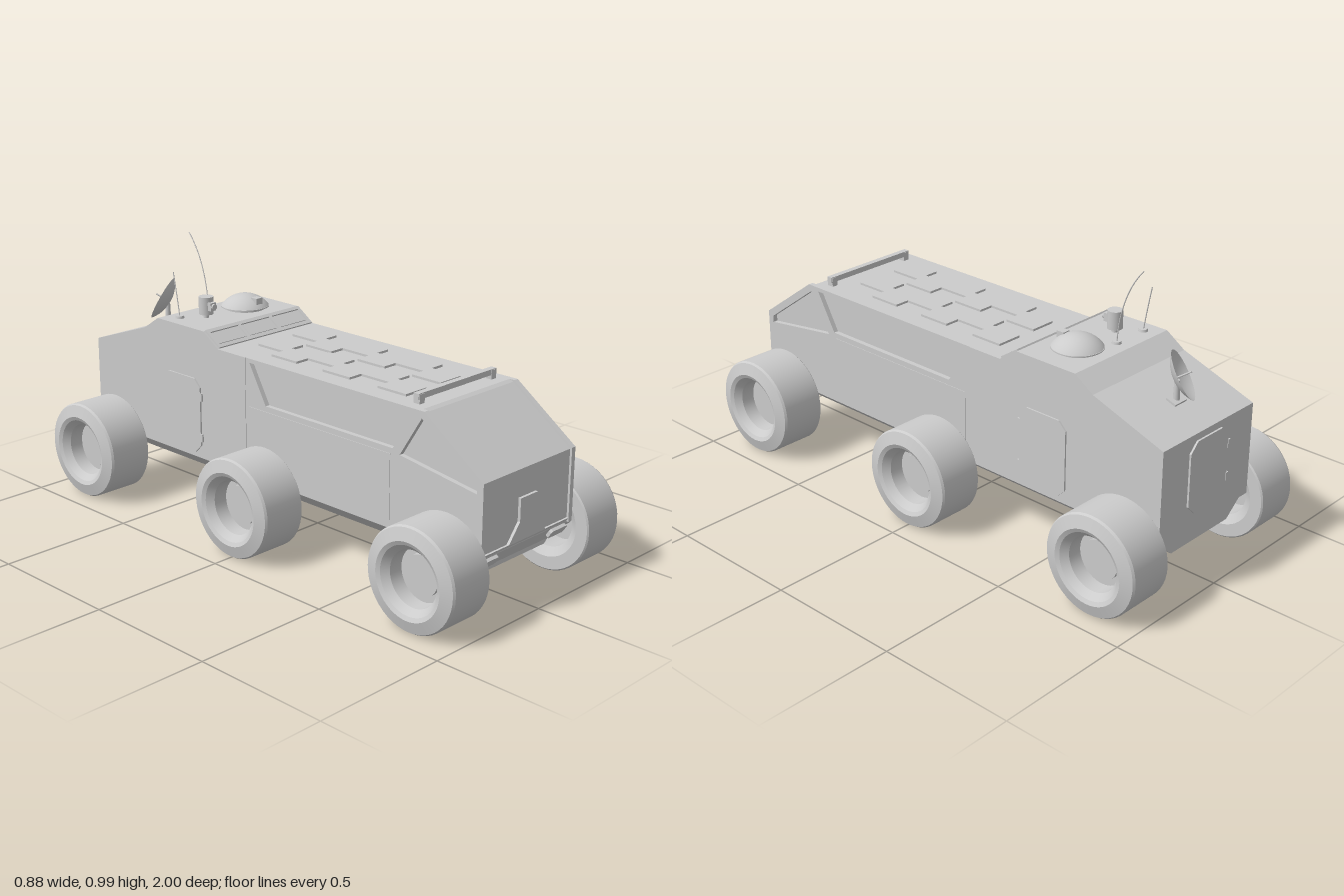
import * as THREE from 'three';

const mat = new THREE.MeshStandardMaterial({ color: 0xcccccc, side: THREE.DoubleSide });
const V = (x, y, z) => new THREE.Vector3(x, y, z);
const path = (Type, pts) => new Type(pts.map(([a, b]) => new THREE.Vector2(a, b)));

export function createModel() {
  const model = new THREE.Group();

  function add(name, geo, x = 0, y = 0, z = 0, parent = model) {
    const mesh = new THREE.Mesh(geo, mat);
    mesh.name = name;
    mesh.position.set(x, y, z);
    parent.add(mesh);
    return mesh;
  }
  const box = (w, h, d) => new THREE.BoxGeometry(w, h, d);
  const cyl = (r1, r2, h, n = 24) => new THREE.CylinderGeometry(r1, r2, h, n);

  // Extrude an outline of (z, y) points across x, centred on x = 0
  function sideExtrude(pts, width, holes = []) {
    const shape = path(THREE.Shape, pts);
    shape.holes = holes.map(h => path(THREE.Path, h));
    const geo = new THREE.ExtrudeGeometry(shape, { depth: width, bevelEnabled: false });
    return geo.rotateY(-Math.PI / 2).translate(width / 2, 0, 0);
  }
  // Extrude an outline of (x, y) points along z, centred on z = 0
  function frontExtrude(pts, depth) {
    const geo = new THREE.ExtrudeGeometry(path(THREE.Shape, pts), { depth, bevelEnabled: false });
    return geo.translate(0, 0, -depth / 2);
  }
  const octagon = (w, h, c) => [
    [-w, -h + c], [-w + c, -h], [w - c, -h], [w, -h + c],
    [w, h - c], [w - c, h], [-w + c, h], [-w, h - c]];

  // Main hull, slightly inset at the nose between the side frames
  const cabin = [[-0.26, 0.655], [-0.335, 0.705], [-0.585, 0.705], [-0.66, 0.655],
    [-0.945, 0.555], [-0.945, 0.22]];
  add('hull', sideExtrude([[0.937, 0.22], [0.937, 0.475], [0.695, 0.648], [0.68, 0.655], ...cabin], 0.434));

  // Side frames with recessed panels, doors and hinges
  const upperPanel = [[0.65, 0.64], [-0.1, 0.64], [-0.02, 0.5], [0.57, 0.5]];
  const nosePanel = [[0.69, 0.63], [0.92, 0.465], [0.92, 0.44], [0.6, 0.485]];
  const lowerPanel = [[0.56, 0.48], [-0.1, 0.48], [-0.1, 0.24], [0.56, 0.24]];
  for (const s of [-1, 1]) {
    add('sideFrame', sideExtrude([[0.945, 0.22], [0.945, 0.48], [0.70, 0.655], [-0.12, 0.655], [-0.12, 0.22]],
      0.018, [upperPanel, nosePanel]), s * 0.226);
    add('lowerSidePanel', sideExtrude(lowerPanel, 0.003), s * 0.2355);
    add('cabinSide', sideExtrude([[-0.12, 0.22], [-0.12, 0.655], ...cabin], 0.02), s * 0.227);
    add('sideDoor', sideExtrude(octagon(0.1, 0.14, 0.03), 0.008), s * 0.239, 0.38, -0.455);
    for (const y of [0.3, 0.455]) add('doorHinge', box(0.008, 0.03, 0.012), s * 0.24, y, -0.352);
  }

  // Keel with sloping flanks
  add('keel', frontExtrude([[-0.235, 0.22], [-0.15, 0.15], [0.15, 0.15], [0.235, 0.22]], 1.83), 0, 0, -0.015);

  // Front and rear lower plates, raked inwards
  for (const s of [1, -1]) {
    const h = s > 0 ? 0.235 : 0.24;
    add(s > 0 ? 'frontBumper' : 'rearBumper',
      sideExtrude([[s * 0.945, h], [s * 0.9, 0.165], [s * 0.84, 0.165], [s * 0.84, h]], 0.47));
  }
  for (const s of [-1, 1]) {
    const lampShape = frontExtrude(octagon(0.043, 0.018, 0.007), 0.016);
    add('headlight', lampShape, s * 0.178, 0.197, 0.925).rotation.x = 0.57;
  }

  // Nose plate and rear door
  add('nosePlate', frontExtrude([[-0.1, 0.235], [0.09, 0.235], [0.04, 0.3], [0.04, 0.38],
    [-0.047, 0.38], [-0.047, 0.3]], 0.014), 0, 0, 0.94);
  add('rearDoor', frontExtrude(octagon(0.1, 0.13, 0.035), 0.012), 0, 0.4, -0.946);
  for (const y of [0.34, 0.46]) add('rearDoorHinge', box(0.012, 0.03, 0.012), -0.103, y, -0.948);

  // Zigzag tread pads on the roof
  for (const s of [-1, 1]) {
    for (let i = 0; i < 6; i++) {
      const shift = i % 2 ? 0.028 : -0.028;
      add('roofPad', box(0.1, 0.012, 0.125), s * 0.085 + shift, 0.657, 0.4975 - i * 0.125);
    }
  }

  // Low bar across the front of the roof
  add('roofBar', box(0.39, 0.02, 0.022), 0, 0.68, 0.63);
  for (const s of [-1, 1]) add('roofBarFoot', box(0.024, 0.035, 0.026), s * 0.18, 0.67, 0.63);

  // Sloping windscreen: frame strips around three panes
  const screen = new THREE.Group();
  screen.name = 'windscreen';
  screen.position.set(0, 0.68, -0.2975);
  screen.rotation.x = Math.atan2(0.05, 0.075);
  model.add(screen);
  for (const z of [-0.037, 0.037]) add('screenRail', box(0.46, 0.008, 0.014), 0, 0.002, z, screen);
  for (const x of [-0.224, -0.077, 0.077, 0.224]) add('screenPost', box(0.012, 0.008, 0.075), x, 0.002, 0, screen);
  for (const x of [-0.15, 0, 0.15]) add('windowPane', box(0.13, 0.006, 0.05), x, 0, 0, screen);

  // Wheels and axles
  const wheelProfile = [[0.03, 0.03], [0.07, 0.03], [0.07, 0.015], [0.1, 0.015], [0.1, -0.07], [0.13, -0.09],
    [0.175, -0.09], [0.18, -0.085], [0.18, 0.075], [0.175, 0.083], [0.132, 0.095], [0.118, 0.088],
    [0.097, 0.065], [0.093, 0.01], [0, 0.01]];
  // Separate bands keep the edges between them sharp
  function band(a, b, parent) {
    const pts = [wheelProfile[a], wheelProfile[b]].map(([r, h]) => new THREE.Vector2(r, h));
    const mesh = add('wheelBand', new THREE.LatheGeometry(pts, 48), 0, 0, 0, parent);
    mesh.rotation.z = -Math.PI / 2;
  }
  for (const z of [-0.82, 0, 0.82]) {
    for (const s of [-1, 1]) {
      const wheel = new THREE.Group();
      wheel.name = 'wheel';
      wheel.position.set(s * 0.345, 0.18, z);
      wheel.rotation.y = s > 0 ? 0 : Math.PI;
      model.add(wheel);
      for (let i = 0; i < wheelProfile.length - 1; i++) band(i, i + 1, wheel);
      add('hub', cyl(0.045, 0.045, 0.05), -0.01, 0, 0, wheel).rotation.z = Math.PI / 2;
    }
    add('axle', cyl(0.024, 0.024, 0.68), 0, 0.18, z).rotation.z = Math.PI / 2;
  }

  // Roof dome with a small sight
  add('domeBase', cyl(0.075, 0.075, 0.014, 40), 0.085, 0.709, -0.465);
  const cap = (r, angle) => new THREE.SphereGeometry(r, 40, 10, 0, Math.PI * 2, 0, angle)
    .translate(0, -r * Math.cos(angle), 0);
  add('dome', cap(0.112, 0.93), 0.085, 0.715, -0.465);
  add('domeFloor', cyl(0.09, 0.09, 0.004, 40), 0.085, 0.715, -0.465);
  add('domeSight', box(0.03, 0.024, 0.03), 0.088, 0.742, -0.405);

  // Periscope camera
  add('cameraPost', cyl(0.01, 0.01, 0.03), -0.107, 0.715, -0.465);
  add('cameraBody', cyl(0.027, 0.027, 0.065), -0.107, 0.752, -0.465);
  add('cameraHood', box(0.026, 0.03, 0.02), -0.107, 0.752, -0.435);
  add('cameraLens', cyl(0.011, 0.011, 0.012), -0.107, 0.752, -0.424).rotation.x = Math.PI / 2;

  // Whip antennas
  for (const [x, top, back] of [[-0.178, 0.87, -0.56], [-0.038, 0.985, -0.63]]) {
    const curve = new THREE.QuadraticBezierCurve3(V(x, 0.705, -0.53), V(x, top - 0.1, -0.54), V(x, top, back));
    add('antenna', new THREE.TubeGeometry(curve, 20, 0.002, 6));
    add('antennaBase', cyl(0.015, 0.017, 0.01), x, 0.709, -0.53);
  }

  // Dish on the rear deck, facing back and up
  const facing = V(-0.5, 0.48, -0.74).normalize();
  const dish = new THREE.Group();
  dish.name = 'dish';
  dish.position.set(-0.01, 0.693, -0.825);
  dish.quaternion.setFromUnitVectors(V(0, 1, 0), facing.negate());
  model.add(dish);
  add('dishBowl', cap(0.14, 0.68), 0, 0, 0, dish);
  add('dishFeed', cyl(0.003, 0.003, 0.06, 8), 0, 0, 0, dish);
  add('dishPost', cyl(0.009, 0.012, 0.08), 0.0, 0.635, -0.81);
  add('dishFoot', box(0.06, 0.012, 0.04), 0.0, 0.604, -0.81).rotation.x = -0.337;

  return model;
}
